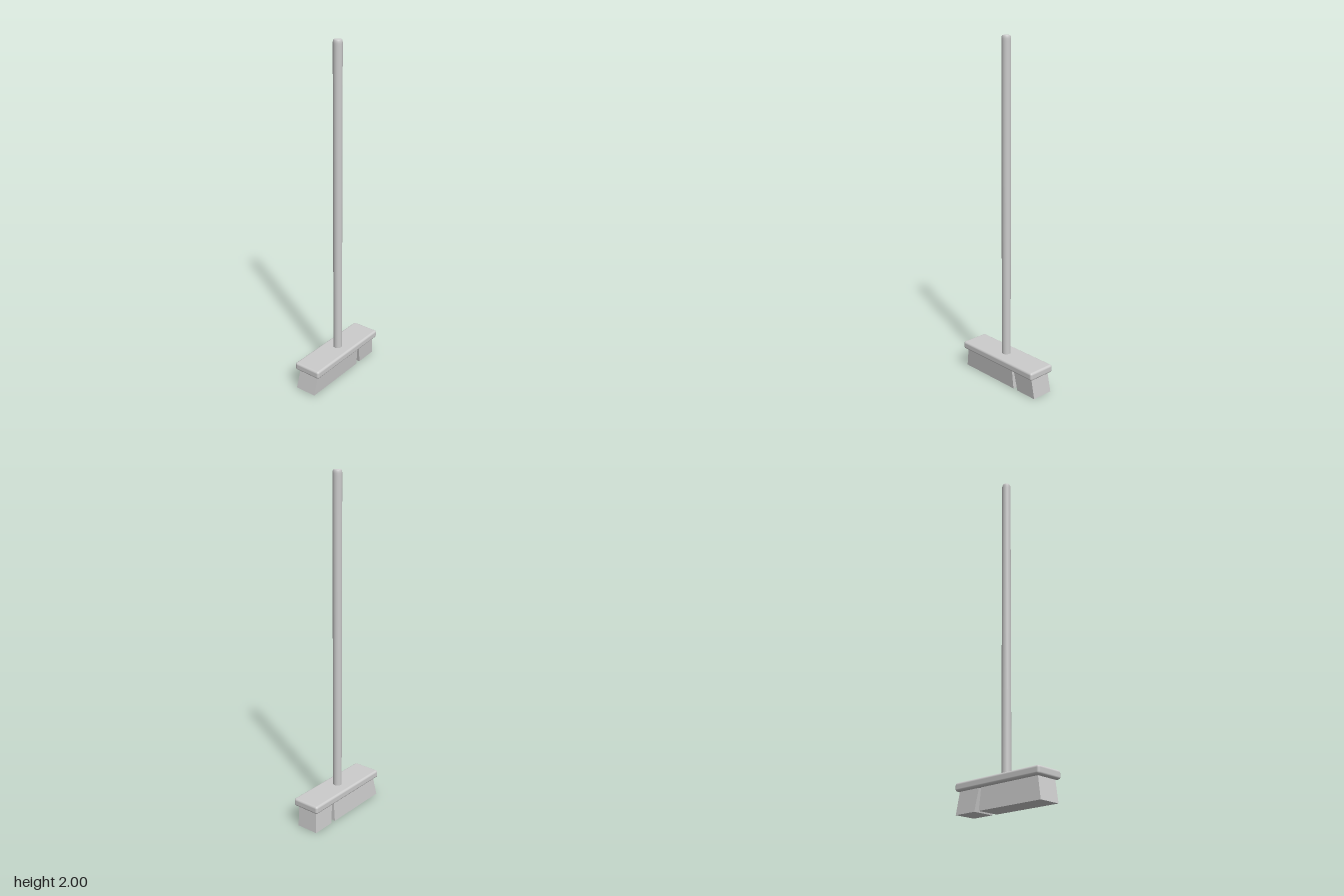
import * as THREE from 'three';
import { RoundedBoxGeometry } from 'three/addons/geometries/RoundedBoxGeometry.js';

const material = new THREE.MeshStandardMaterial({ color: 0xcccccc });

function addMesh(parent, name, geometry) {
  const mesh = new THREE.Mesh(geometry, material);
  mesh.name = name;
  parent.add(mesh);
  return mesh;
}

// Box whose top and bottom rectangles differ: { x: [min, max], z: [min, max], y }
function taperedBlock(top, bottom) {
  const geometry = new THREE.BoxGeometry(1, 1, 1);
  const p = geometry.attributes.position;
  for (let i = 0; i < p.count; i++) {
    const end = p.getY(i) > 0 ? top : bottom;
    p.setXYZ(i, end.x[p.getX(i) > 0 ? 1 : 0], end.y, end.z[p.getZ(i) > 0 ? 1 : 0]);
  }
  geometry.computeVertexNormals();
  return geometry;
}

export function createModel() {
  const broom = new THREE.Group();
  broom.name = 'broom';

  // Handle: straight pole with a rounded shoulder and a small flat tip
  const radius = 0.026, round = 0.02, tipY = 2;
  const profile = [new THREE.Vector2(0, 0.15), new THREE.Vector2(radius, 0.15)];
  profile.push(new THREE.Vector2(radius, 0.16), new THREE.Vector2(radius, tipY - round - 0.01));
  for (let i = 0; i <= 5; i++) {
    const a = (i / 5) * Math.PI / 2;
    profile.push(new THREE.Vector2(0.019 + 0.007 * Math.cos(a), tipY - round + round * Math.sin(a)));
  }
  addMesh(broom, 'handle', new THREE.LatheGeometry(profile, 32));
  const tip = addMesh(broom, 'handleTip', new THREE.CircleGeometry(0.019, 32));
  tip.rotation.x = -Math.PI / 2;
  tip.position.y = tipY;

  // Head: flat board with softened edges
  const board = addMesh(broom, 'headBoard', new RoundedBoxGeometry(0.588, 0.047, 0.173, 4, 0.013));
  board.position.set(0, 0.145, -0.0015);

  // Bristles: two splayed clumps, swept slightly to the back, with a gap between
  const bristles = new THREE.Group();
  bristles.name = 'bristles';
  broom.add(bristles);
  const clumps = [
    ['wideBristleClump', [-0.27, 0.116], [-0.295, 0.12]],
    ['narrowBristleClump', [0.132, 0.275], [0.152, 0.29]],
  ];
  for (const [name, topX, bottomX] of clumps) {
    addMesh(bristles, name, taperedBlock(
      { x: topX, z: [-0.066, 0.065], y: 0.125 },
      { x: bottomX, z: [-0.078, 0.055], y: 0 },
    ));
  }
  return broom;
}
